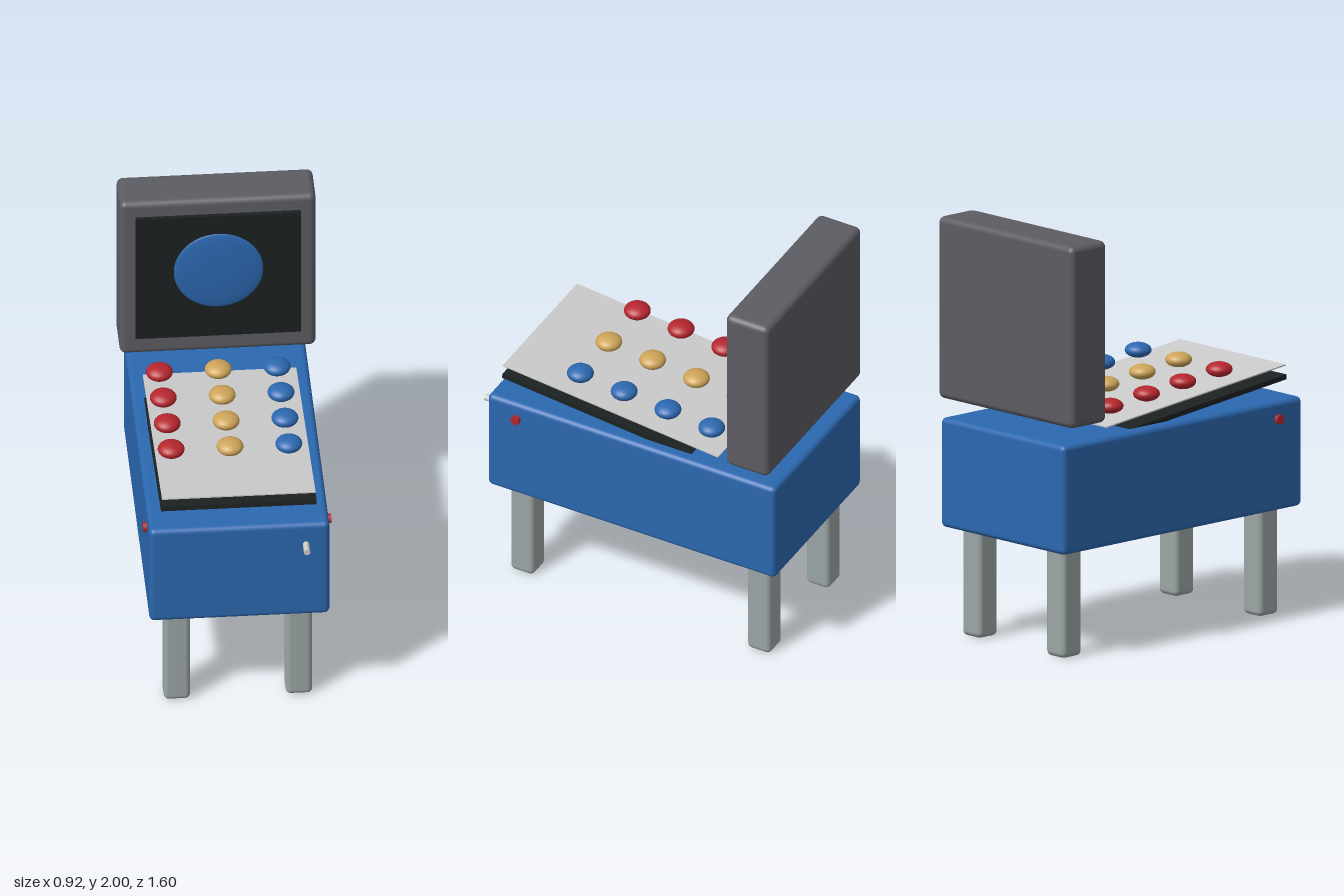
import * as THREE from 'three';
import { RoundedBoxGeometry } from 'three/addons/geometries/RoundedBoxGeometry.js';

const paint = (color) => new THREE.MeshStandardMaterial({ color });

export function createModel() {
  const model = new THREE.Group();
  model.name = 'arcadeTable';

  const blue = paint(0x2b68b0);
  const red = paint(0xb5262e);
  const gold = paint(0xcda458);
  const black = paint(0x1c2122);
  const charcoal = paint(0x5c5c63);
  const steel = paint(0x9ba5a5);
  const silver = paint(0xbdbdbd);

  function add(name, geometry, material, x, y, z, parent = model) {
    const mesh = new THREE.Mesh(geometry, material);
    mesh.name = name;
    mesh.position.set(x, y, z);
    parent.add(mesh);
    return mesh;
  }

  // Cabinet
  add('cabinet', new RoundedBoxGeometry(0.845, 0.525, 1.535, 3, 0.025), blue, 0, 0.78, -0.035);

  // Legs
  const legGeometry = new RoundedBoxGeometry(0.125, 0.56, 0.125, 3, 0.025);
  for (const x of [-0.286, 0.286]) {
    for (const z of [0.59, -0.673]) add('leg', legGeometry, steel, x, 0.28, z);
  }

  // Upright head with screen and round emblem
  add('head', new RoundedBoxGeometry(0.92, 0.873, 0.23, 3, 0.03), charcoal, 0, 1.5635, -0.671);
  add('screen', new THREE.BoxGeometry(0.775, 0.69, 0.02), black, 0, 1.576, -0.546);
  const emblem = add('screenDisc', new THREE.SphereGeometry(1, 48, 24), blue, 0, 1.617, -0.525);
  emblem.scale.set(0.21, 0.21, 0.019);

  // Tilted playfield and its cover sheet
  const tilt = 0.102;
  const field = add('playfield', new THREE.BoxGeometry(0.73, 0.024, 1.155), black, 0, 1.075, 0.108);
  const cover = add('coverSheet', new THREE.BoxGeometry(0.72, 0.006, 1.155), silver, 0, 1.131, 0.108);
  field.rotation.x = cover.rotation.x = -tilt;

  // Rows of domed bumpers following the slope
  const bumperGeometry = new THREE.SphereGeometry(0.063, 32, 20).scale(1, 0.56, 1);
  [[-0.289, red], [-0.013, gold], [0.263, blue]].forEach(([x, material]) => {
    for (let row = 0; row < 4; row++) {
      add('bumper', bumperGeometry, material, x, 1.151 + row * 0.0215, -0.379 + row * 0.2335);
    }
  });

  // Side buttons
  const buttonGeometry = new THREE.CylinderGeometry(0.023, 0.023, 0.05, 20).rotateZ(Math.PI / 2);
  for (const side of [-1, 1]) add('sideButton', buttonGeometry, red, side * 0.416, 0.957, 0.575);

  // Plunger
  const plungerGeometry = new THREE.CylinderGeometry(0.015, 0.015, 0.12, 20).rotateX(Math.PI / 2);
  add('plunger', plungerGeometry, silver, 0.311, 0.93, 0.742);

  return model;
}
